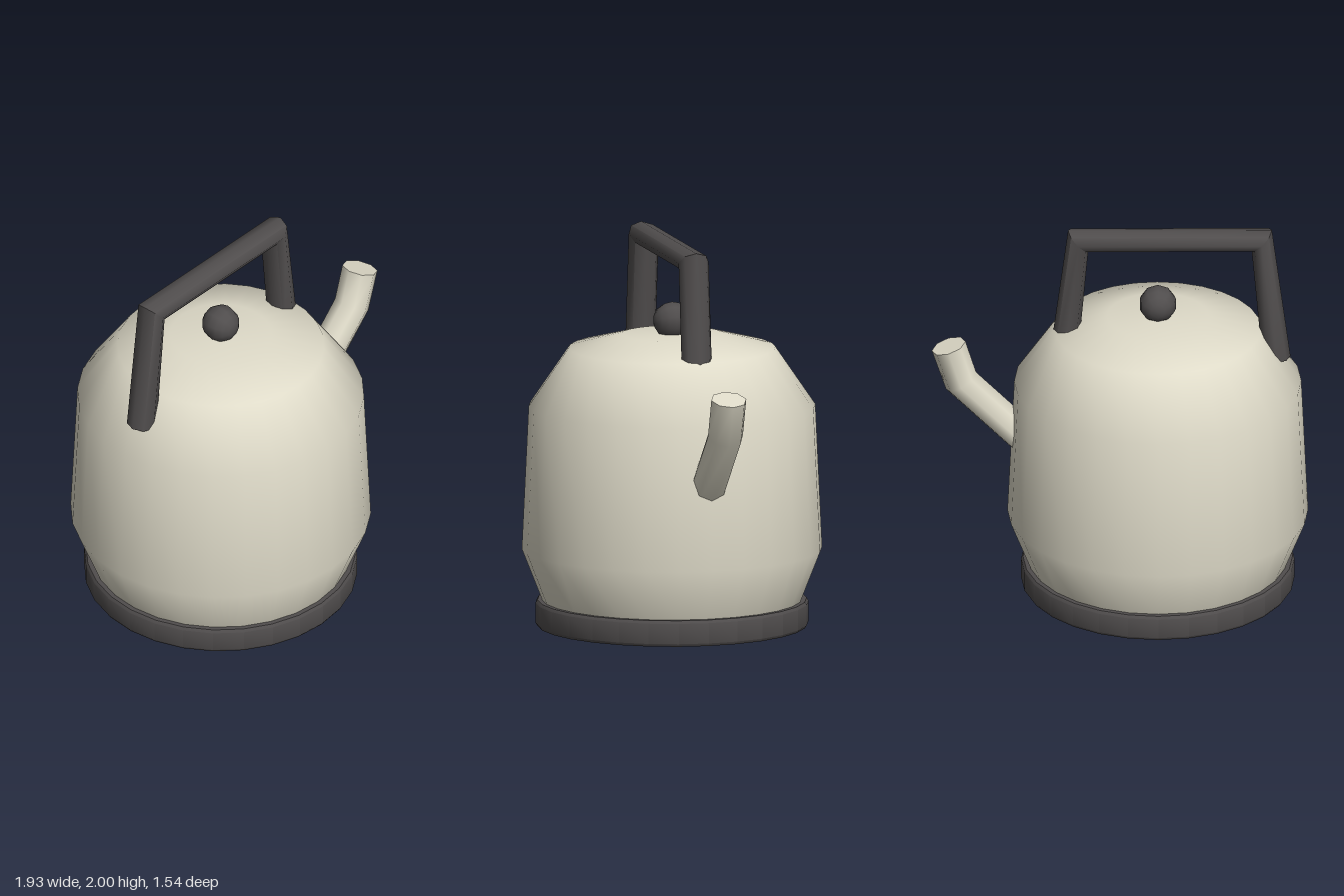
import * as THREE from 'three';
import { toCreasedNormals } from 'three/addons/utils/BufferGeometryUtils.js';

const CENTRE_X = -0.2; // axis of the round body

// Lofts eight-sided elliptical rings, each given as [outerX, outerY, innerX, innerY, halfDepth].
function loft(rings, sides = 8) {
  const pos = [], index = [];
  for (const [ox, oy, ix, iy, depth] of rings) {
    const mx = (ox + ix) / 2, my = (oy + iy) / 2;
    for (let j = 0; j < sides; j++) {
      const a = (j / sides) * Math.PI * 2, c = Math.cos(a);
      pos.push(mx + (ox - mx) * c, my + (oy - my) * c, depth * Math.sin(a));
    }
  }
  const last = (rings.length - 1) * sides;
  for (let j = 0; j < sides; j++) {
    const k = (j + 1) % sides;
    for (let r = 0; r < last; r += sides) {
      index.push(r + j, r + sides + j, r + k, r + k, r + sides + j, r + sides + k);
    }
    // end caps
    if (j > 0 && k > 0) index.push(0, j, k, last, last + k, last + j);
  }
  const g = new THREE.BufferGeometry();
  g.setAttribute('position', new THREE.Float32BufferAttribute(pos, 3));
  g.setIndex(index);
  return toCreasedNormals(g, 1.1);
}

function lathe(points) {
  return new THREE.LatheGeometry(points.map(([r, y]) => new THREE.Vector2(r, y)), 28);
}

export function createModel() {
  const model = new THREE.Group();
  const cream = new THREE.MeshStandardMaterial({ color: 0xdedac8 });
  const dark = new THREE.MeshStandardMaterial({ color: 0x504d4d });

  function add(name, geometry, material, x = 0, y = 0) {
    const mesh = new THREE.Mesh(geometry, material);
    mesh.name = name;
    mesh.position.set(x, y, 0);
    model.add(mesh);
    return mesh;
  }

  // Round base with softened rims
  const base = lathe([[0, 0], [0.69, 0], [0.7, 0.015], [0.7, 0.12], [0.69, 0.135], [0, 0.135]]);
  add('base', toCreasedNormals(base, 0.6), dark, CENTRE_X);

  // Smooth faceted body with shallow dome
  add('body', lathe([
    [0.66, 0.12], [0.77, 0.4], [0.735, 1.14], [0.53, 1.44], [0.26, 1.51], [0, 1.515],
  ]), cream, CENTRE_X);

  // Lid knob, poles facing front and back
  const knob = new THREE.SphereGeometry(0.097, 10, 8);
  knob.rotateX(Math.PI / 2);
  knob.rotateZ(Math.PI / 2);
  add('lidKnob', knob, dark, CENTRE_X, 1.58);

  // Bent spout with a closed mouth
  add('spout', loft([
    [0.485, 0.695, 0.36, 0.82, 0.093],
    [0.885, 1.095, 0.73, 1.19, 0.093],
    [0.957, 1.313, 0.785, 1.367, 0.093],
  ]), cream);

  // Angular handle: symmetric legs mitred into a level grip
  const mid = -0.2625;
  const legRings = [[0.617, 1.28, 0.472, 1.28, 0.08], [0.522, 2.0, 0.418, 1.89, 0.08]];
  const side = (s) => legRings.map(([ox, oy, ix, iy, d]) => [mid + s * ox, oy, mid + s * ix, iy, d]);
  add('handle', loft([...side(1), ...side(-1).reverse()]), dark);

  return model;
}
